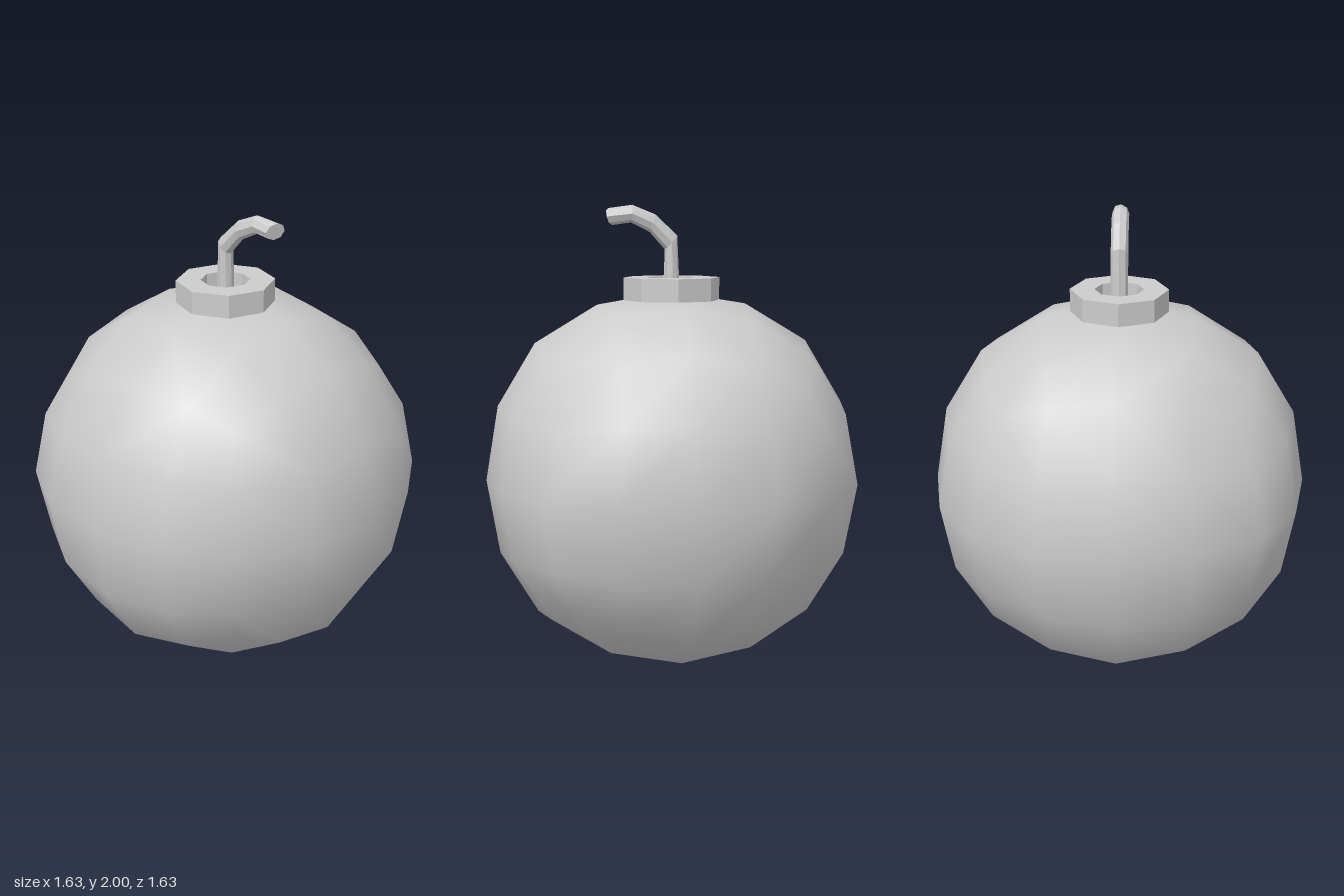
import * as THREE from 'three';
import { mergeVertices } from 'three/addons/utils/BufferGeometryUtils.js';

const smooth = new THREE.MeshStandardMaterial({ color: 0xcccccc });
const flat = new THREE.MeshStandardMaterial({ color: 0xcccccc, flatShading: true });

function meshFrom(points, indices) {
  const g = new THREE.BufferGeometry();
  g.setAttribute('position', new THREE.Float32BufferAttribute(points, 3));
  g.setIndex(indices);
  return g;
}

// Ball: a cube subdivided twice, 4 x 4 quads per side.
// Each entry gives [larger offset, smaller offset, height] for one grid point.
const GRID = [
  [[0, 0, 0.8785]],
  [[0.3507, 0, 0.8194], [0.3264, 0.3264, 0.7639]],
  [[0.6432, 0, 0.6432], [0.599, 0.3021, 0.599], [0.5093, 0.5093, 0.5093]],
];

function ballGeometry(radius) {
  const points = [], indices = [], scale = radius / 0.8785;
  for (let axis = 0; axis < 3; axis++) {
    for (const side of [1, -1]) {
      const base = points.length / 3;
      for (let j = -2; j <= 2; j++) {
        for (let i = -2; i <= 2; i++) {
          const ai = Math.abs(i), aj = Math.abs(j);
          const [big, small, height] = GRID[Math.max(ai, aj)][Math.min(ai, aj)];
          const p = [0, 0, 0];
          p[axis] = side * height * scale;
          p[(axis + 1) % 3] = side * Math.sign(i) * (ai >= aj ? big : small) * scale;
          p[(axis + 2) % 3] = Math.sign(j) * (ai >= aj ? small : big) * scale;
          points.push(...p);
        }
      }
      for (let j = 0; j < 4; j++) {
        for (let i = 0; i < 4; i++) {
          const a = base + j * 5 + i;
          indices.push(a, a + 1, a + 6, a, a + 6, a + 5);
        }
      }
    }
  }
  const g = mergeVertices(meshFrom(points, indices));
  g.computeVertexNormals();
  return g;
}

// Fuse: eight-sided rings with mitred bends and a slanted cut end.
// Each ring: centre x, y, then the half-width vector x, y, then the end slant.
const FUSE_RINGS = [
  [0, 1.6, 0.037, 0, 0],
  [0.0025, 1.84, 0.0275, -0.03, 0],
  [0.083, 1.922, 0.0125, -0.0375, 0],
  [0.1725, 1.9625, 0.0025, -0.0375, 0],
  [0.266, 1.95, -0.008, -0.036, -0.5],
];

function fuseGeometry() {
  const sides = 8, points = [], indices = [];
  for (const [cx, cy, hx, hy, slant] of FUSE_RINGS) {
    for (let i = 0; i < sides; i++) {
      const a = (i / sides) * Math.PI * 2;
      const c = Math.cos(a), z = Math.sin(a) * 0.037;
      points.push(cx + hx * c + slant * z, cy + hy * c, z);
    }
  }
  const last = FUSE_RINGS.length - 1;
  for (let k = 0; k < last; k++) {
    for (let i = 0; i < sides; i++) {
      const a = k * sides + i, b = k * sides + (i + 1) % sides;
      indices.push(a, a + sides, b + sides, a, b + sides, b);
    }
  }
  // End cap
  const e = last * sides;
  for (let i = 1; i < sides - 1; i++) indices.push(e, e + i + 1, e + i);
  const g = meshFrom(points, indices).toNonIndexed();
  g.computeVertexNormals();
  return g;
}

export function createModel() {
  const model = new THREE.Group();
  const add = (name, geometry, material) => {
    const mesh = new THREE.Mesh(geometry, material);
    mesh.name = name;
    model.add(mesh);
    return mesh;
  };

  add('ball', ballGeometry(0.8135), smooth).position.y = 0.8155;

  // Octagonal collar with a hole for the fuse
  const profile = [[0.21, 1.592], [0.21, 1.69], [0.105, 1.69], [0.105, 1.592], [0.21, 1.592]]
    .map(([r, y]) => new THREE.Vector2(r, y));
  add('collar', new THREE.LatheGeometry(profile, 8), flat);

  add('fuse', fuseGeometry(), flat);
  return model;
}
